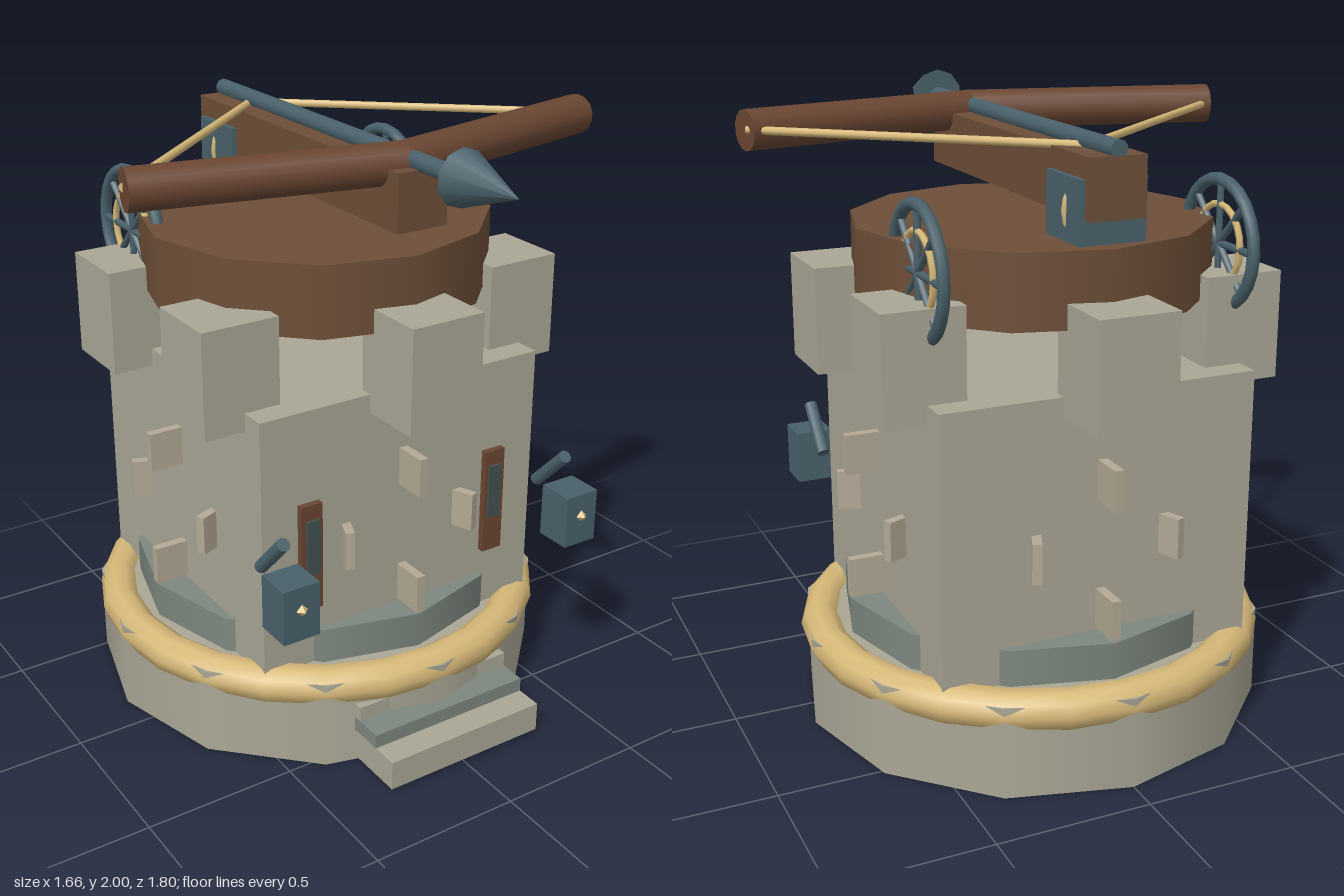
import * as THREE from 'three';

const mat = (color) => new THREE.MeshStandardMaterial({ color });
const STONE = mat(0xaaa796), STONE_LIGHT = mat(0xb3a994), SLATE = mat(0x7d877f);
const WOOD = mat(0x6e4f38), WOOD_RED = mat(0x6a4632), IRON = mat(0x4a616b);
const DARK = mat(0x42524f), ROPE = mat(0xd6b878);
const CZ = -0.13; // centre of the tower in z

export function createModel() {
  const model = new THREE.Group();

  const add = (name, geometry, material, x = 0, y = 0, z = 0, parent = model) => {
    const mesh = new THREE.Mesh(geometry, material);
    mesh.name = name;
    mesh.position.set(x, y, z);
    parent.add(mesh);
    return mesh;
  };
  const box = (name, material, w, h, d, x, y, z, parent) =>
    add(name, new THREE.BoxGeometry(w, h, d), material, x, y, z, parent);
  const drum = (name, material, r, y0, y1, z = CZ) =>
    add(name, new THREE.CylinderGeometry(r, r, y1 - y0, 12), material, 0, (y0 + y1) / 2, z);
  // Round bar between two points
  const bar = (name, material, r, from, to, sides = 10, parent = model) => {
    const a = new THREE.Vector3(...from), b = new THREE.Vector3(...to);
    const dir = b.clone().sub(a);
    const mesh = add(name, new THREE.CylinderGeometry(r, r, dir.length(), sides), material, 0, 0, 0, parent);
    mesh.position.copy(a).add(b).multiplyScalar(0.5);
    mesh.quaternion.setFromUnitVectors(new THREE.Vector3(0, 1, 0), dir.normalize());
    return mesh;
  };

  // Foundation, rope ring, plinth and tower
  drum('foundation', STONE, 0.767, 0, 0.3);
  const ring = add('ropeRing', new THREE.TorusGeometry(0.705, 0.065, 10, 24), ROPE, 0, 0.265, CZ);
  ring.rotation.x = Math.PI / 2;
  drum('plinth', SLATE, 0.63, 0.28, 0.42);
  box('towerBody', STONE, 1.045, 0.89, 1.045, 0, 0.745, CZ);

  // Front steps
  box('lowerStep', STONE, 0.58, 0.1, 0.25, 0, 0.067, 0.645);
  box('middleStep', SLATE, 0.58, 0.05, 0.2, 0, 0.14, 0.58);
  box('upperStep', STONE, 0.58, 0.05, 0.2, 0, 0.19, 0.49);

  // Protruding stones in three staggered rings
  [0.495, 0.705, 0.915].forEach((y, row) => {
    for (let i = 0; i < 8; i++) {
      const a = (i + (row % 2) / 2) * Math.PI / 4;
      const stone = box('wallStone', STONE_LIGHT, 0.03, 0.13, 0.14,
        Math.sin(a) * 0.565, y, CZ + Math.cos(a) * 0.565);
      stone.rotation.y = a;
    }
  });

  // Battlements
  for (let i = 0; i < 6; i++) {
    const a = i * Math.PI / 3;
    box('merlon', STONE, 0.26, 0.345, 0.26, Math.sin(a) * 0.61, 1.302, CZ + Math.cos(a) * 0.61);
  }

  // Wooden turntable
  drum('turntable', WOOD, 0.575, 1.395, 1.628);

  for (const s of [-1, 1]) {
    // Shutter, lantern box and lever on the front
    box('shutter', WOOD_RED, 0.077, 0.37, 0.03, s * 0.356, 0.697, 0.4);
    box('shutterSlot', DARK, 0.048, 0.19, 0.03, s * 0.354, 0.735, 0.408);
    box('lanternBox', IRON, 0.125, 0.18, 0.125, s * 0.538, 0.678, 0.585);
    add('lanternStud', new THREE.OctahedronGeometry(0.02), ROPE, s * 0.538, 0.69, 0.648);
    bar('lever', IRON, 0.022, [s * 0.54, 0.865, 0.55], [s * 0.54, 0.725, 0.415]);

    // Spoked winding wheel
    const wheel = new THREE.Group();
    wheel.name = 'windingWheel';
    wheel.position.set(s * 0.5, 1.553, -0.45);
    wheel.rotation.y = Math.PI / 2;
    model.add(wheel);
    add('wheelRim', new THREE.TorusGeometry(0.2, 0.02, 8, 24), IRON, 0, 0, 0, wheel);
    add('wheelRope', new THREE.TorusGeometry(0.123, 0.011, 6, 20), ROPE, 0, 0, 0, wheel);
    for (let i = 0; i < 4; i++) {
      const a = i * Math.PI / 4, c = Math.cos(a) * 0.2, d = Math.sin(a) * 0.2;
      bar('wheelSpoke', IRON, 0.012, [-c, -d, 0], [c, d, 0], 6, wheel);
    }

    // Bow arm and string
    bar('bowArm', WOOD_RED, 0.065, [-s * 0.012, 1.895, 0.373], [s * 0.818, 1.895, 0.187], 14);
    bar('bowString', ROPE, 0.013, [s * 0.815, 1.898, 0.175], [0, 1.898, -0.53], 8);
  }

  // Stock with its trigger block and rope binding
  box('stock', WOOD, 0.178, 0.182, 1.185, 0, 1.804, -0.128);
  box('triggerBlock', IRON, 0.215, 0.19, 0.215, 0, 1.735, -0.583);
  add('binding', new THREE.TorusGeometry(0.11, 0.01, 6, 20), ROPE, 0, 1.73, -0.6);

  // Bolt
  bar('boltShaft', IRON, 0.028, [0, 1.913, -0.72], [0, 1.913, 0.66]);
  const head = add('boltHead', new THREE.ConeGeometry(0.088, 0.25, 10), IRON, 0, 1.913, 0.773);
  head.rotation.x = Math.PI / 2;

  return model;
}
